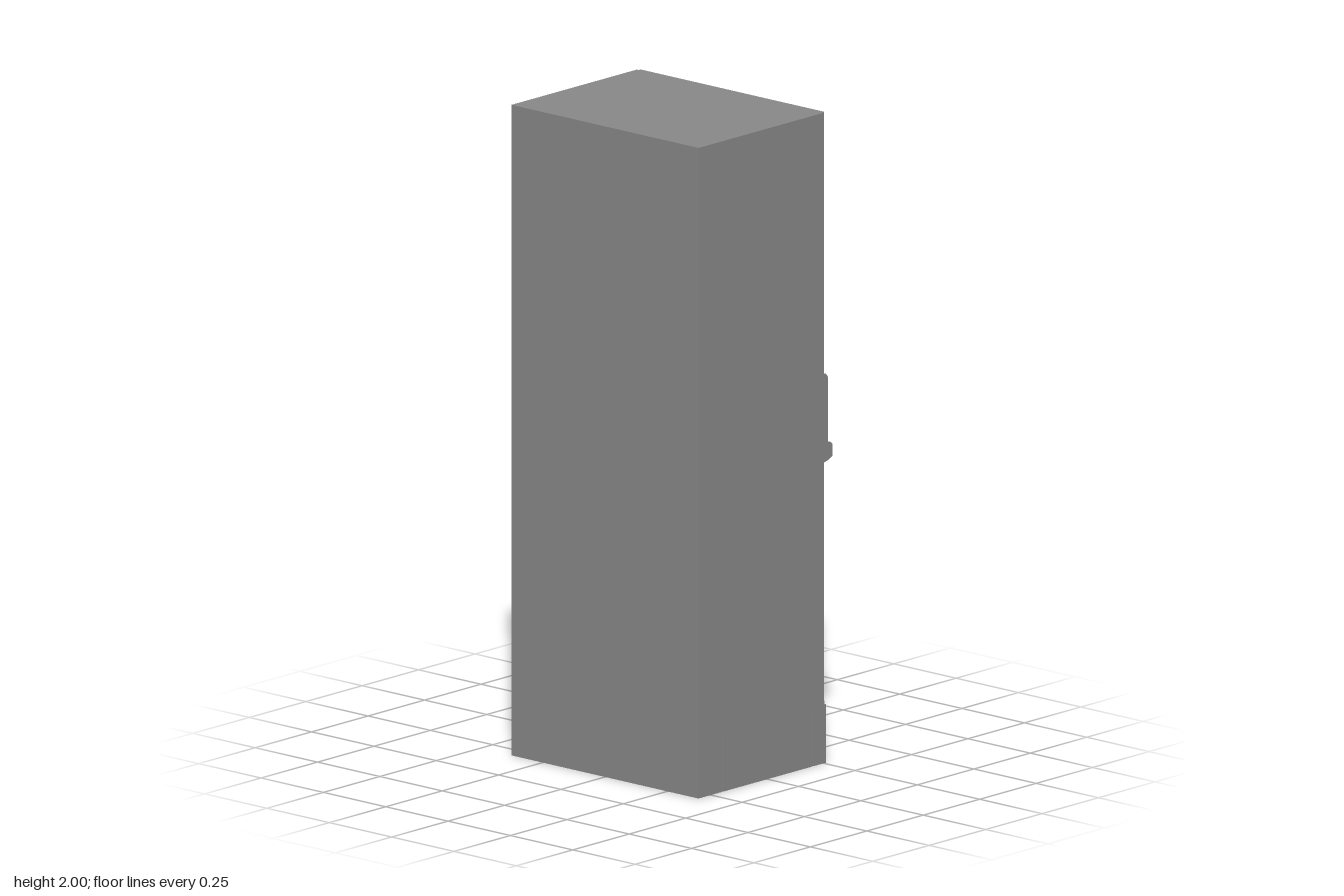
import * as THREE from 'three';

const material = new THREE.MeshStandardMaterial({ color: 0x878787, flatShading: true });

export function createModel() {
  const model = new THREE.Group();
  model.name = 'cabinet';

  const add = (name, geometry, parent = model) => {
    const mesh = new THREE.Mesh(geometry, material);
    mesh.name = name;
    parent.add(mesh);
    return mesh;
  };

  // Box given by its limits on each axis
  const box = (name, x0, x1, y0, y1, z0, z1, parent) => {
    const mesh = add(name, new THREE.BoxGeometry(x1 - x0, y1 - y0, z1 - z0), parent);
    mesh.position.set((x0 + x1) / 2, (y0 + y1) / 2, (z0 + z1) / 2);
  };

  // Extruded outline
  const extrude = (points, depth) => new THREE.ExtrudeGeometry(
    new THREE.Shape(points.map(([x, y]) => new THREE.Vector2(x, y))),
    { depth, bevelEnabled: false },
  );

  // Body with a slightly narrower door on its front
  box('body', -0.305, 0.25, 0.18, 2, -0.375, 0.375);
  box('door', 0.25, 0.259, 0.193, 2, -0.367, 0.367);

  // Plinth: recessed core with panels that leave thin vertical slots
  const plinth = new THREE.Group();
  plinth.name = 'plinth';
  model.add(plinth);
  box('plinthCore', -0.305, 0.25, 0, 0.18, -0.365, 0.365, plinth);
  for (const z0 of [-0.375, 0.365]) {
    for (const [x0, x1] of [[-0.305, -0.202], [-0.197, 0.2], [0.205, 0.26]]) {
      box('plinthSidePanel', x0, x1, 0, 0.18, z0, z0 + 0.01, plinth);
    }
  }
  for (const [z0, z1] of [[-0.365, -0.303], [-0.292, 0.282], [0.293, 0.365]]) {
    box('plinthFrontPanel', 0.25, 0.264, 0, 0.188, z0, z1, plinth);
  }

  // Louvred vents, each finished by a deeper lip at the bottom
  for (const [name, base] of [['upperVent', 1.632], ['lowerVent', 0.539]]) {
    const vent = new THREE.Group();
    vent.name = name;
    vent.position.y = base;
    model.add(vent);
    for (let i = 0; i < 12; i++) {
      if (i === 6) continue;
      const y = 0.022 + i * 0.0138;
      box('louvre', 0.258, 0.264, y, y + 0.008, -0.085, 0.105, vent);
    }
    box('lip', 0.258, 0.268, 0, 0.014, -0.087, 0.105, vent);
    box('lipTab', 0.258, 0.272, 0.004, 0.017, -0.072, -0.052, vent);
  }

  // Name plate at the top
  box('namePlate', 0.258, 0.263, 1.92, 1.972, -0.055, 0.05);

  // Tapered card holder, its face leaning out towards the bottom
  const holder = extrude([[-0.06, 1.49], [0.03, 1.49], [0.022, 1.575], [-0.054, 1.575]], 0.014);
  const p = holder.attributes.position;
  for (let i = 0; i < p.count; i++) {
    if (p.getZ(i) > 0.007 && p.getY(i) > 1.53) p.setZ(i, 0.011);
  }
  holder.rotateY(Math.PI / 2);
  holder.translate(0.258, 0, 0);
  add('cardHolder', holder);

  // Door handle with a thicker grip at its lower end
  const handle = extrude([
    [0.258, 0.917], [0.285, 0.922], [0.305, 0.932], [0.305, 0.968], [0.297, 0.976],
    [0.284, 0.981], [0.284, 1.18], [0.276, 1.19], [0.258, 1.19],
  ], 0.027);
  handle.translate(0, 0, 0.333);
  add('handle', handle);

  return model;
}
